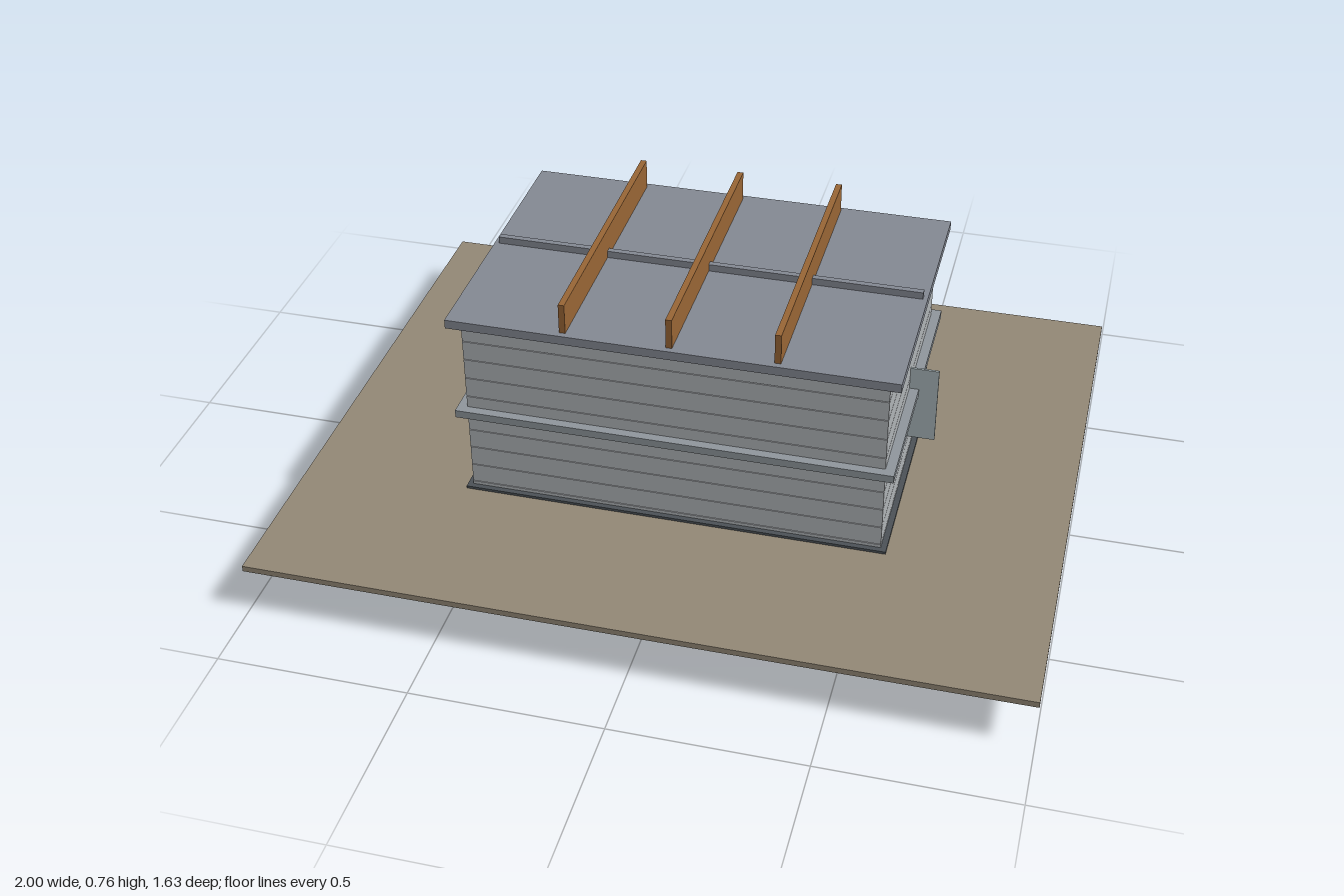
import * as THREE from 'three';

const mat = (color) => new THREE.MeshStandardMaterial({ color });

export function createModel() {
  const model = new THREE.Group();
  const ochre = mat(0xa5872b), earth = mat(0x948977), wallGrey = mat(0xb0b4b7);
  const slate = mat(0x858a94), trim = mat(0x90979d), dark = mat(0x4c5257);
  const wood = mat(0x996636), panel = mat(0xa9b6ba);

  // Box spanning y0..y1, centred on x and z
  const box = (name, material, w, y0, y1, d, x = 0, z = 0, parent = model) => {
    const mesh = new THREE.Mesh(new THREE.BoxGeometry(w, y1 - y0, d), material);
    mesh.position.set(x, (y0 + y1) / 2, z);
    mesh.name = name;
    parent.add(mesh);
    return mesh;
  };

  // Foundation: ring beam with a projecting pad and a post at each corner
  const foundation = new THREE.Group();
  foundation.name = 'foundation';
  model.add(foundation);
  for (const s of [-1, 1]) {
    box('longFootingBeam', ochre, 0.92, 0.002, 0.132, 0.1, 0, s * 0.33, foundation);
    box('shortFootingBeam', ochre, 0.1, 0.002, 0.132, 0.56, s * 0.51, 0, foundation);
    for (const t of [-1, 1]) {
      box('cornerPad', ochre, 0.14, 0.002, 0.132, 0.134, s * 0.53, t * 0.347, foundation);
      box('cornerPost', trim, 0.09, 0, 0.13, 0.09, s * 0.51, t * 0.33, foundation);
    }
  }

  // Ground slab and base strip under the walls
  box('groundSlab', earth, 2, 0.131, 0.147, 1.63);
  box('baseStrip', dark, 1.12, 0.147, 0.154, 0.75);

  // Walls: a solid core with courses separated by hairline joints
  const walls = new THREE.Group();
  walls.name = 'walls';
  model.add(walls);
  box('wallCore', wallGrey, 1.084, 0.15, 0.665, 0.717, 0, 0, walls);
  const joints = [0.154, 0.165, 0.22, 0.277, 0.332, 0.386, 0.438, 0.495, 0.552, 0.607, 0.662];
  for (let i = 0; i < joints.length - 1; i++) {
    box('wallCourse', wallGrey, 1.09, joints[i] + 0.001, joints[i + 1] - 0.001, 0.723, 0, 0, walls);
  }

  // Band at mid height and the side panel
  box('wallBand', trim, 1.14, 0.384, 0.405, 0.772);
  box('sidePanel', panel, 0.085, 0.25, 0.468, 0.006, 0.5775, 0);

  // Roof slab, ridge batten and three joists
  box('roofSlab', slate, 1.152, 0.66, 0.684, 0.787, 0, -0.003);
  box('ridgeBatten', slate, 1.128, 0.684, 0.703, 0.016, 0, -0.003);
  for (const x of [-0.274, -0.002, 0.27]) {
    box('roofJoist', wood, 0.016, 0.684, 0.765, 0.755, x, -0.003);
  }
  return model;
}
